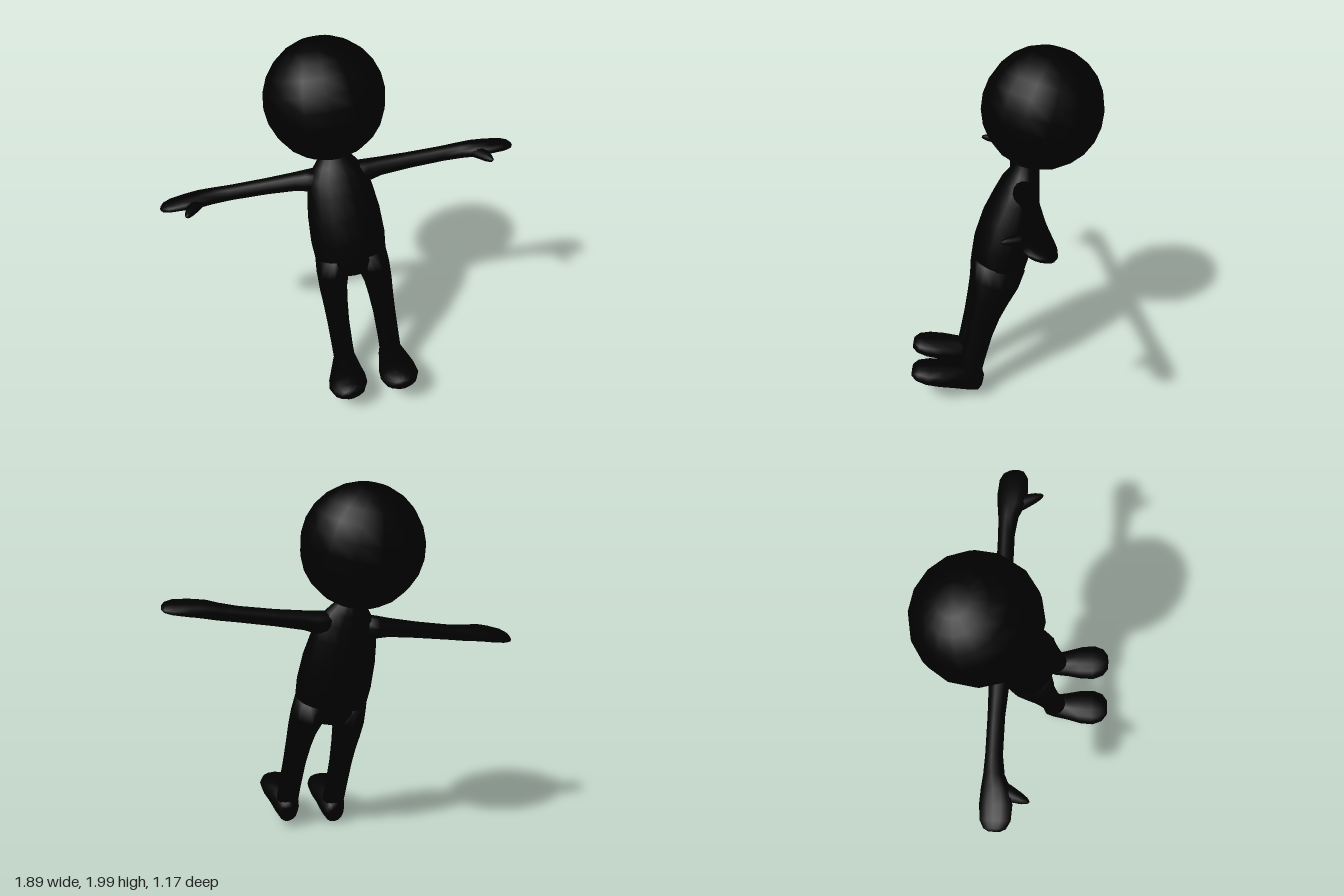
import * as THREE from 'three';

const black = new THREE.MeshStandardMaterial({ color: 0x000000 });
black.name = 'matte black';

// Smooth closed loft along an axis (0 = x, 1 = y, 2 = z) through elliptical rings.
// Each ring: [position, centreU, centreV, radiusU, radiusV], u and v being the next two axes.
// side = -1 mirrors the part across x.
function loft(name, axis, rings, side = 1, n = 14) {
  const u = (axis + 1) % 3, v = (axis + 2) % 3;
  const pos = [], index = [];
  const add = (w, a, b) => {
    const p = [0, 0, 0];
    p[axis] = w; p[u] = a; p[v] = b;
    pos.push(p[0] * side, p[1], p[2]);
  };
  const tri = (a, b, c) => (side > 0 ? index.push(a, b, c) : index.push(a, c, b));
  for (const [w, a, b, ru, rv] of rings) {
    for (let j = 0; j < n; j++) {
      const t = (j / n) * Math.PI * 2;
      add(w, a + ru * Math.cos(t), b + rv * Math.sin(t));
    }
  }
  const last = rings.length - 1, start = rings.length * n, end = start + 1;
  add(...rings[0]);
  add(...rings[last]);
  for (let j = 0; j < n; j++) {
    const k = (j + 1) % n;
    for (let i = 0; i < last; i++) {
      const a = i * n + j, b = i * n + k;
      tri(a, b, a + n);
      tri(b, b + n, a + n);
    }
    tri(start, k, j);
    tri(end, last * n + j, last * n + k);
  }
  const geo = new THREE.BufferGeometry();
  geo.setAttribute('position', new THREE.Float32BufferAttribute(pos, 3));
  geo.setIndex(index);
  geo.computeVertexNormals();
  const mesh = new THREE.Mesh(geo, black);
  mesh.name = name;
  return mesh;
}

export function createModel() {
  const model = new THREE.Group();
  model.name = 'figure';
  const body = new THREE.Group();
  body.name = 'tiltedBody';
  model.add(body);

  // Round head
  const head = new THREE.Mesh(new THREE.SphereGeometry(0.33, 16, 12), black);
  head.name = 'head';
  head.position.y = 1.7;
  body.add(head);

  // Torso from crotch to neck
  body.add(loft('torso', 1, [
    [0.67, 0, 0, 0.07, 0.06], [0.7, 0, 0, 0.13, 0.16], [0.78, 0, 0, 0.157, 0.205],
    [0.9, 0.005, 0, 0.165, 0.213], [1.05, 0.005, 0, 0.155, 0.205], [1.18, 0, 0, 0.132, 0.185],
    [1.27, 0, 0, 0.108, 0.168], [1.33, -0.005, 0, 0.085, 0.125], [1.4, -0.01, 0, 0.06, 0.07],
  ], 1, 18));

  for (const side of [1, -1]) {
    const label = side > 0 ? 'left' : 'right';

    // Leg
    body.add(loft(label + 'Leg', 1, [
      [0.05, 0, 0.142, 0.07, 0.065], [0.2, 0.005, 0.142, 0.07, 0.064],
      [0.37, 0.01, 0.14, 0.076, 0.066], [0.5, 0.01, 0.136, 0.09, 0.073],
      [0.6, 0.005, 0.132, 0.108, 0.082], [0.7, 0, 0.118, 0.135, 0.096],
      [0.8, 0, 0.105, 0.145, 0.1],
    ], side));

    // Foot, rounded at heel and toe
    body.add(loft(label + 'Foot', 2, [
      [-0.085, 0.142, 0.07, 0.03, 0.04], [-0.07, 0.142, 0.07, 0.055, 0.066],
      [-0.02, 0.142, 0.075, 0.073, 0.075], [0.07, 0.146, 0.076, 0.088, 0.076],
      [0.16, 0.15, 0.07, 0.108, 0.068], [0.24, 0.152, 0.064, 0.112, 0.06],
      [0.3, 0.152, 0.06, 0.09, 0.048], [0.33, 0.152, 0.056, 0.05, 0.028],
    ], side));

    // Arm widening into a mitten hand
    body.add(loft(label + 'Arm', 0, [
      [0.1, 1.255, -0.01, 0.07, 0.075], [0.17, 1.26, -0.012, 0.062, 0.065],
      [0.24, 1.266, -0.016, 0.052, 0.054], [0.4, 1.268, -0.02, 0.045, 0.046],
      [0.6, 1.27, -0.02, 0.042, 0.046], [0.7, 1.272, -0.014, 0.044, 0.056],
      [0.77, 1.274, 0, 0.044, 0.078], [0.85, 1.272, 0.004, 0.038, 0.088],
      [0.93, 1.268, 0.004, 0.03, 0.082], [0.97, 1.264, 0.002, 0.02, 0.06],
      [0.985, 1.262, 0, 0.008, 0.03],
    ], side));

    // Thumb
    body.add(loft(label + 'Thumb', 2, [
      [0.02, 0.775, 1.268, 0.055, 0.034], [0.08, 0.795, 1.26, 0.042, 0.028],
      [0.13, 0.815, 1.25, 0.029, 0.022], [0.16, 0.826, 1.244, 0.016, 0.013],
      [0.17, 0.83, 1.242, 0.006, 0.005],
    ], side, 10));
  }

  // Lean the whole body back, turned and tipped slightly to one side
  const x = new THREE.Vector3(0.951, 0.118, 0.286).normalize();
  const z = x.clone().cross(new THREE.Vector3(-0.03, 0.957, -0.29)).normalize();
  const y = z.clone().cross(x);
  const origin = new THREE.Vector3(-0.01, 1.67, -0.245).addScaledVector(y, -1.7);
  body.applyMatrix4(new THREE.Matrix4().makeBasis(x, y, z).setPosition(origin));
  return model;
}
